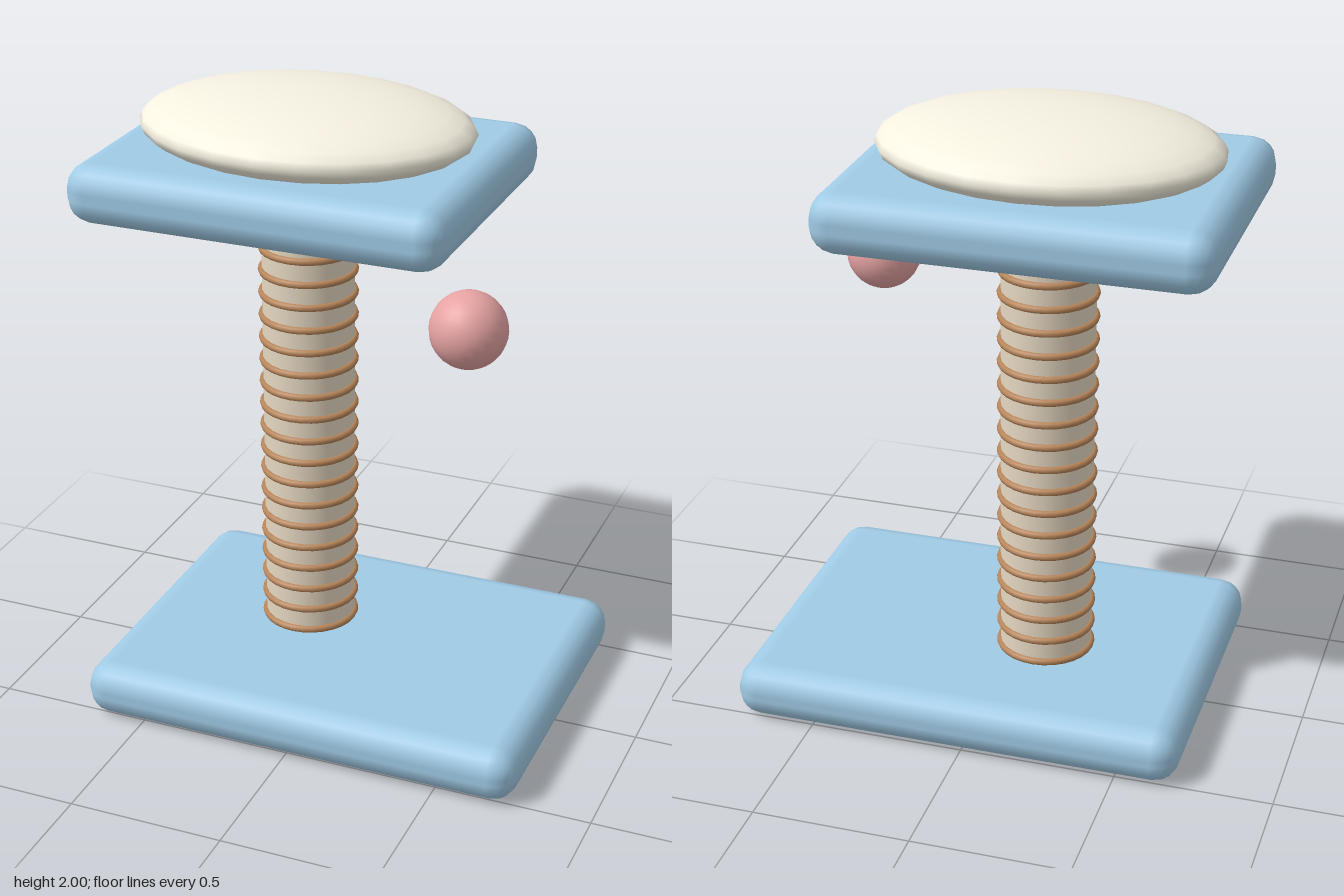
import * as THREE from 'three';
import { RoundedBoxGeometry } from 'three/addons/geometries/RoundedBoxGeometry.js';

const blue = new THREE.MeshStandardMaterial({ color: 0xa0cbe6 });
const cream = new THREE.MeshStandardMaterial({ color: 0xf5f0e0 });
const beige = new THREE.MeshStandardMaterial({ color: 0xe6d8c2 });
const brown = new THREE.MeshStandardMaterial({ color: 0xb8865a });
const pink = new THREE.MeshStandardMaterial({ color: 0xe6a3a3 });

export function createModel() {
  const model = new THREE.Group();
  model.name = 'scratchingPost';

  const add = (name, geometry, material, x, y, z, parent = model) => {
    const mesh = new THREE.Mesh(geometry, material);
    mesh.name = name;
    mesh.position.set(x, y, z);
    parent.add(mesh);
    return mesh;
  };

  // Centre line shared by the post, platform and cushion
  const px = -0.155, pz = -0.07;

  // Rounded slabs
  add('base', new RoundedBoxGeometry(1.455, 0.18, 1.09, 2, 0.08), blue, 0.03, 0.092, 0.005);
  add('platform', new RoundedBoxGeometry(1.21, 0.19, 0.97, 2, 0.08), blue, px, 1.735, pz);

  // Post wrapped with evenly spaced rope rings
  add('post', new THREE.CylinderGeometry(0.147, 0.147, 1.5, 24), beige, px, 0.91, pz);
  const rope = new THREE.Group();
  rope.name = 'ropeRings';
  model.add(rope);
  const ringGeometry = new THREE.TorusGeometry(0.147, 0.012, 8, 28).rotateX(Math.PI / 2);
  for (let i = 0; i < 18; i++) {
    add(`ropeRing${i + 1}`, ringGeometry, brown, px, 0.192 + i * 0.0766, pz, rope);
  }

  // Domed cushion, partly sunk into the platform
  add('cushion', new THREE.SphereGeometry(1, 24, 16), cream, px, 1.885, pz).scale.set(0.533, 0.115, 0.41);

  // Toy ball
  add('toyBall', new THREE.SphereGeometry(0.12, 24, 16), pink, 0.455, 1.396, 0.153);

  return model;
}
